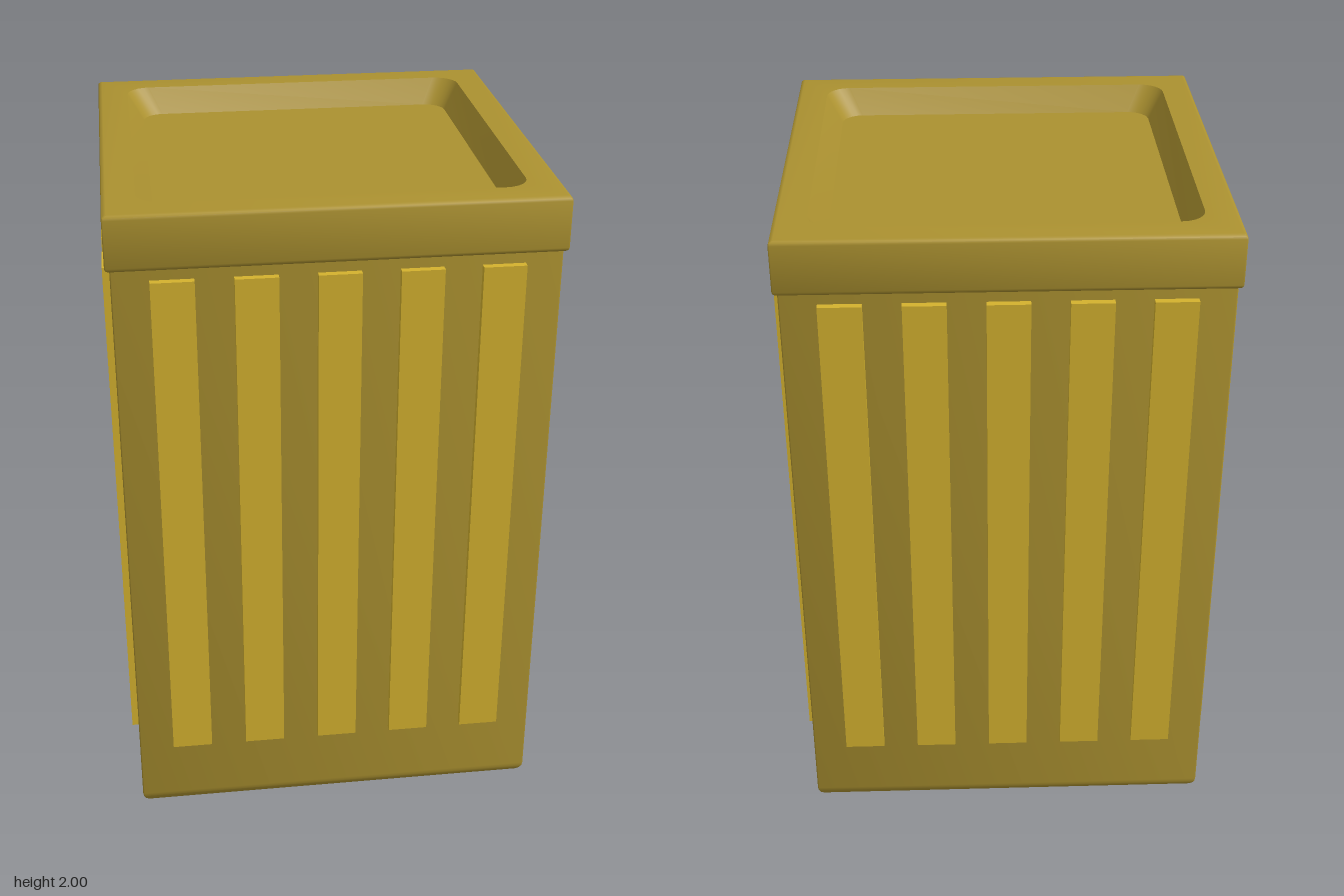
import * as THREE from 'three';
import { toCreasedNormals } from 'three/addons/utils/BufferGeometryUtils.js';

const CORNER_STEPS = 6;

// Horizontal rounded-square ring: half width, corner radius, height
function ring([half, radius, y]) {
  const points = [];
  for (let q = 0; q < 4; q++) {
    const mid = Math.PI / 4 + q * Math.PI / 2;
    const cx = Math.sign(Math.cos(mid)) * (half - radius);
    const cz = Math.sign(Math.sin(mid)) * (half - radius);
    for (let s = 0; s <= CORNER_STEPS; s++) {
      const a = (q + s / CORNER_STEPS) * Math.PI / 2;
      points.push(new THREE.Vector3(cx + radius * Math.cos(a), y, cz + radius * Math.sin(a)));
    }
  }
  return points;
}

// Skin a stack of rings; the outside lies to the left of the profile direction
function loft(sections) {
  const rings = sections.map(ring);
  const positions = [];
  const tri = (a, b, c) => {
    if (new THREE.Triangle(a, b, c).getArea() < 1e-9) return;
    for (const p of [a, b, c]) positions.push(p.x, p.y, p.z);
  };
  for (let i = 0; i + 1 < rings.length; i++) {
    const lo = rings[i], hi = rings[i + 1], n = lo.length;
    for (let j = 0; j < n; j++) {
      const k = (j + 1) % n;
      tri(lo[j], hi[j], hi[k]);
      tri(lo[j], hi[k], lo[k]);
    }
  }
  const geometry = new THREE.BufferGeometry();
  geometry.setAttribute('position', new THREE.Float32BufferAttribute(positions, 3));
  return toCreasedNormals(geometry, 0.6);
}

// Quarter-round profile steps between two angles
function fillet(half, y, r, from, to, corner, steps) {
  return Array.from({ length: steps + 1 }, (_, i) => {
    const a = from + (to - from) * i / steps;
    return [half - r + r * Math.cos(a), corner, y + r * Math.sin(a)];
  });
}

export function createModel() {
  const group = new THREE.Group();
  const darkMaterial = new THREE.MeshStandardMaterial({ color: 0xab9130 });
  const slatMaterial = new THREE.MeshStandardMaterial({ color: 0xd3b12e });
  const add = (name, geometry, material, parent = group) => {
    const mesh = new THREE.Mesh(geometry, material);
    mesh.name = name;
    parent.add(mesh);
    return mesh;
  };

  // Square bin body with rounded bottom edges
  const sharp = 0.004;
  add('body', loft([
    [0, 0, 0],
    ...fillet(0.617, 0.05, 0.05, -Math.PI / 2, 0, sharp, 6),
    [0.617, sharp, 1.86],
  ]), darkMaterial);

  // Lid with softened edges and a sloping recessed tray
  const edge = 0.013;
  add('lid', loft([
    [0.6, sharp, 1.84],
    ...fillet(0.63, 1.84 + edge, edge, -Math.PI / 2, 0, sharp, 3),
    ...fillet(0.63, 2 - edge, edge, 0, Math.PI / 2, sharp, 3),
    [0.537, 0.07, 2],
    [0.489, 0.062, 1.925],
    [0, 0, 1.925],
  ]), darkMaterial);

  // Five raised vertical slats on each of the four sides
  const slatGeometry = new THREE.BoxGeometry(0.12, 1.565, 0.04);
  for (let side = 0; side < 4; side++) {
    const panel = new THREE.Group();
    panel.name = 'slatPanel' + (side + 1);
    panel.rotation.y = side * Math.PI / 2;
    for (let i = -2; i <= 2; i++) {
      add('slat', slatGeometry, slatMaterial, panel).position.set(i * 0.2265, 1.0275, 0.618);
    }
    group.add(panel);
  }
  return group;
}
